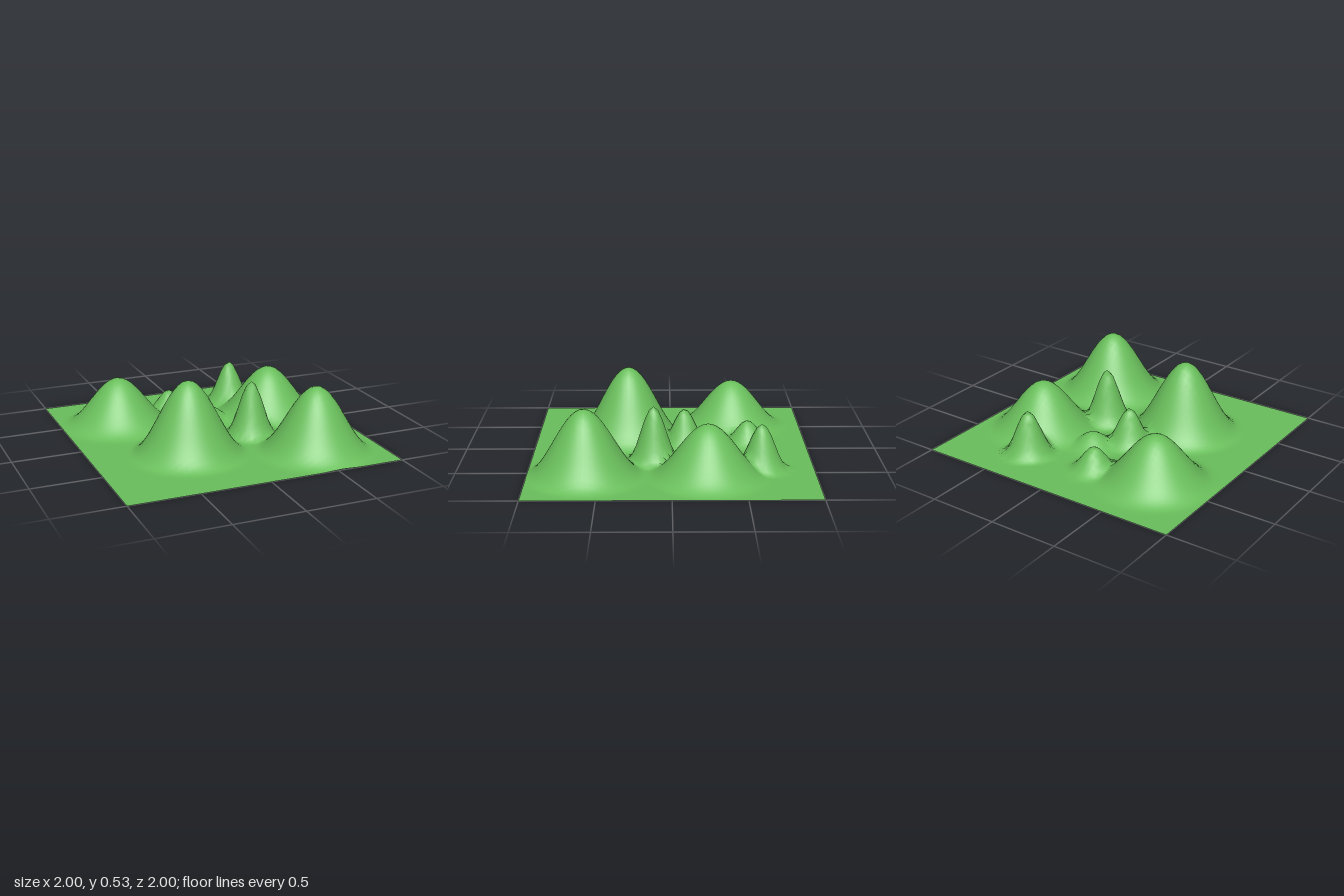
import * as THREE from 'three';

// x, z, height, radius
const BIG_HILLS = [
  [-0.57, -0.47, 0.355, 0.43],
  [-0.315, 0.315, 0.535, 0.43],
  [0.53, 0.6, 0.475, 0.43],
  [0.56, -0.25, 0.375, 0.43],
];
const SMALL_HILLS = [
  [0.25, 0.125, 0.405, 0.19],
  [0.4, -0.63, 0.325, 0.19],
  [-0.105, -0.1, 0.275, 0.18],
  [-0.13, -0.57, 0.175, 0.185],
  [0.09, -0.28, 0.105, 0.19],
];

// Bell-shaped slope; a rim above 0 leaves a low step around the foot
function bell(x, z, [cx, cz, height, radius], rim = 0) {
  const r = Math.hypot(x - cx, z - cz) / radius;
  if (r >= 1) return 0;
  return height * (rim + (1 - rim) * 0.5 * (1 + Math.cos(Math.PI * r)));
}

function heightAt(x, z) {
  let y = 0;
  for (const hill of BIG_HILLS) y = Math.max(y, bell(x, z, hill));
  for (const hill of SMALL_HILLS) y = Math.max(y, bell(x, z, hill, 0.035));
  return y;
}

export function createModel() {
  const group = new THREE.Group();
  group.name = 'hillyLandscape';

  // Square ground sheet lifted into hills
  const geometry = new THREE.PlaneGeometry(2, 2, 64, 64);
  geometry.rotateX(-Math.PI / 2);
  const pos = geometry.attributes.position;
  for (let i = 0; i < pos.count; i++) {
    pos.setY(i, heightAt(pos.getX(i), pos.getZ(i)));
  }
  geometry.computeVertexNormals();

  const material = new THREE.MeshStandardMaterial({ color: 0x6abf5c, side: THREE.DoubleSide });
  const terrain = new THREE.Mesh(geometry, material);
  terrain.name = 'terrain';
  group.add(terrain);
  return group;
}
